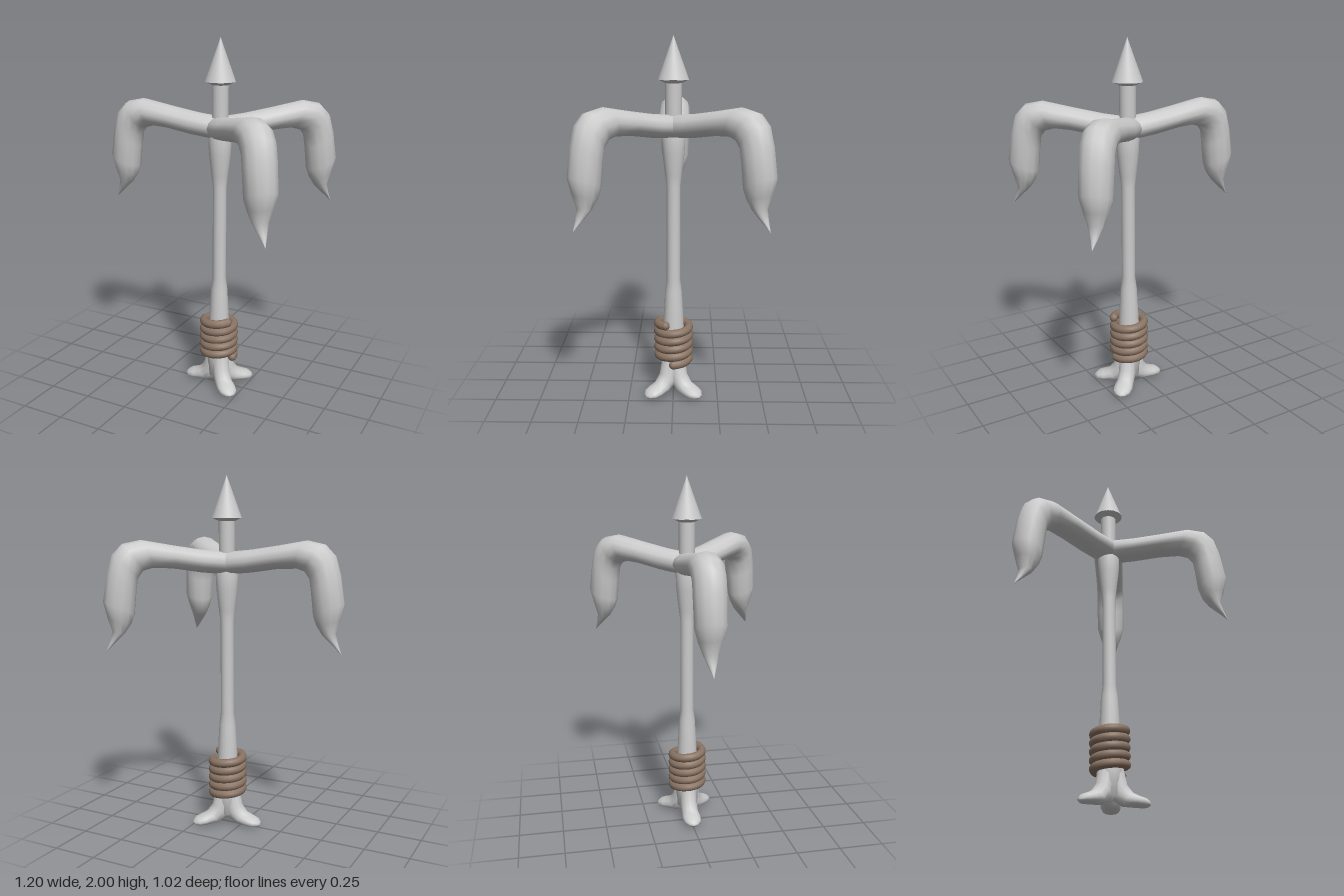
import * as THREE from 'three';

const grey = new THREE.MeshStandardMaterial({ color: 0xcccccc });
const brown = new THREE.MeshStandardMaterial({ color: 0x8a7464 });
const POLE_X = 0.09;

// Elliptical loft in the local xy plane; each section is [outerX, outerY, innerX, innerY, halfWidth]
function loft(sections, sides = 12) {
  const pos = [], index = [];
  for (const [ox, oy, ix, iy, w] of sections) {
    const mx = (ox + ix) / 2, my = (oy + iy) / 2;
    for (let j = 0; j < sides; j++) {
      const a = (j / sides) * Math.PI * 2, c = Math.cos(a);
      pos.push(mx + (ox - mx) * c, my + (oy - my) * c, w * Math.sin(a));
    }
  }
  for (let i = 0; i < sections.length - 1; i++) {
    for (let j = 0; j < sides; j++) {
      const k = (j + 1) % sides;
      const a = i * sides + j, b = i * sides + k, c = a + sides, d = b + sides;
      index.push(a, b, c, b, d, c);
    }
  }
  const g = new THREE.BufferGeometry();
  g.setAttribute('position', new THREE.Float32BufferAttribute(pos, 3));
  g.setIndex(index);
  g.computeVertexNormals();
  return g;
}

function lathe(points, sides) {
  return new THREE.LatheGeometry(points.map(([r, y]) => new THREE.Vector2(r, y)), sides);
}

export function createModel() {
  const model = new THREE.Group();
  const stand = new THREE.Group();
  stand.name = 'stand';
  stand.position.x = POLE_X;
  model.add(stand);

  const add = (name, geometry, material = grey, parent = stand) => {
    const mesh = new THREE.Mesh(geometry, material);
    mesh.name = name;
    parent.add(mesh);
    return mesh;
  };

  // Pole, swelling at the foot and just under the arms
  add('pole', lathe([
    [0, 0.03], [0.06, 0.06], [0.07, 0.19], [0.056, 0.44], [0.047, 0.6], [0.038, 0.67],
    [0.038, 1.2], [0.046, 1.26], [0.06, 1.38], [0.064, 1.47], [0.05, 1.53],
  ], 16));

  // Neck and spear point
  add('neck', new THREE.CylinderGeometry(0.045, 0.045, 0.25, 20).translate(0, 1.635, 0));
  add('pointCollar', new THREE.CylinderGeometry(0.083, 0.045, 0.018, 32, 1, true).translate(0, 1.762, 0));
  add('spearPoint', new THREE.ConeGeometry(0.083, 0.23, 32, 1, true).translate(0, 1.885, 0));

  // Three drooping hook arms, each above a splayed foot
  const armGeometry = loft([
    [-0.05, 1.56, -0.05, 1.47, 0.05],
    [0.0, 1.585, 0.0, 1.46, 0.088],
    [0.15, 1.60, 0.15, 1.475, 0.088],
    [0.31, 1.625, 0.31, 1.50, 0.088],
    [0.48, 1.655, 0.42, 1.505, 0.088],
    [0.58, 1.635, 0.47, 1.49, 0.087],
    [0.635, 1.58, 0.50, 1.45, 0.087],
    [0.665, 1.48, 0.51, 1.38, 0.087],
    [0.69, 1.33, 0.522, 1.26, 0.084],
    [0.668, 1.24, 0.54, 1.21, 0.065],
    [0.645, 1.17, 0.575, 1.16, 0.043],
    [0.662, 1.11, 0.635, 1.105, 0.02],
    [0.682, 1.06, 0.682, 1.06, 0],
  ]);
  const footGeometry = loft([
    [0.055, 0.27, -0.02, 0.24, 0.04],
    [0.076, 0.19, -0.02, 0.12, 0.05],
    [0.09, 0.12, 0.01, 0.04, 0.05],
    [0.12, 0.08, 0.06, 0.008, 0.05],
    [0.155, 0.062, 0.13, 0.003, 0.055],
    [0.188, 0.05, 0.175, 0.0, 0.048],
    [0.208, 0.032, 0.2, 0.006, 0.026],
    [0.21, 0.016, 0.21, 0.016, 0],
  ]);
  [['right', Math.PI], ['frontLeft', -Math.PI / 4], ['backLeft', Math.PI / 4]].forEach(([side, angle]) => {
    add(side + 'Arm', armGeometry).rotation.y = angle;
    add(side + 'Foot', footGeometry).rotation.y = angle;
  });

  // Rope wound around the lower pole
  const start = Math.PI / 6, end = Math.PI * 10, points = [];
  for (let i = 0; i <= 120; i++) {
    const t = i / 120, a = start + (end - start) * t;
    points.push(new THREE.Vector3(0.087 * Math.cos(a), 0.415 - 0.23 * t, 0.087 * Math.sin(a)));
  }
  const rope = new THREE.Group();
  rope.name = 'rope';
  stand.add(rope);
  add('ropeCoil', new THREE.TubeGeometry(new THREE.CatmullRomCurve3(points), 200, 0.0245, 10), brown, rope);
  for (const p of [points[0], points[points.length - 1]]) {
    add('ropeEnd', new THREE.SphereGeometry(0.0245, 10, 8), brown, rope).position.copy(p);
  }
  return model;
}
